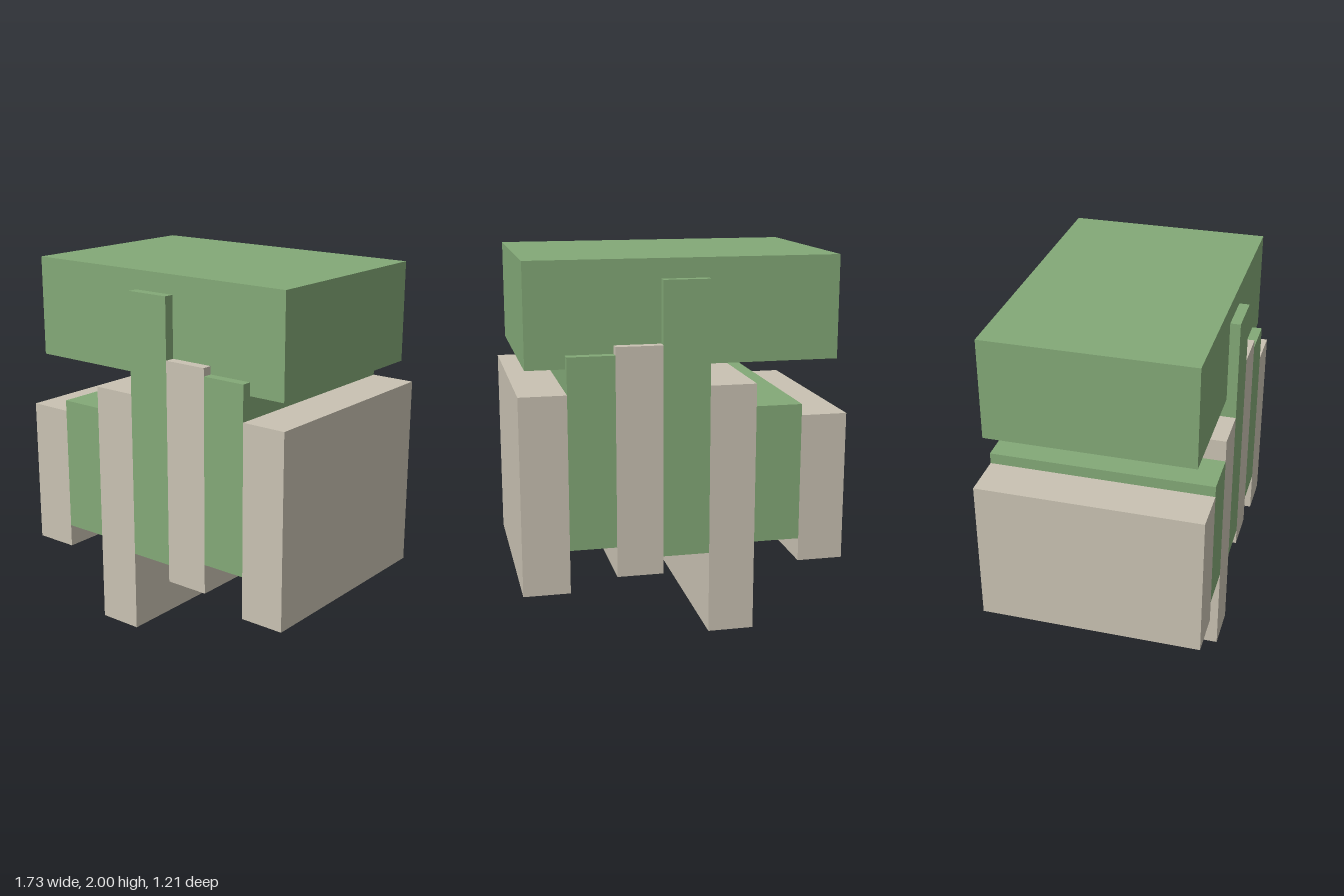
import * as THREE from 'three';

export function createModel() {
  const model = new THREE.Group();
  const green = new THREE.MeshStandardMaterial({ color: 0x83a977 });
  green.name = 'leaf green';
  const beige = new THREE.MeshStandardMaterial({ color: 0xc9c2b2 });
  beige.name = 'stone beige';

  function addBlock(name, material, width, bottom, top, depth, x) {
    const mesh = new THREE.Mesh(new THREE.BoxGeometry(width, top - bottom, depth), material);
    mesh.name = name;
    mesh.position.set(x, (bottom + top) / 2, 0);
    model.add(mesh);
  }

  // Upright slabs side by side, alternating in colour: [bottom, top]
  const spans = [
    [0.365, 1.17], [0.49, 1.23], [0, 1.35], [0.445, 1.897],
    [0.35, 1.568], [0.513, 1.525], [0.28, 1.333],
  ];
  const width = 0.247;
  spans.forEach(([bottom, top], i) => {
    addBlock(`slab${i + 1}`, i % 2 ? green : beige, width, bottom, top, 1.206, (i - 3) * width);
  });

  // Wide block resting over the slabs
  addBlock('roofBlock', green, 1.644, 1.455, 2, 1.097, 0);

  return model;
}
